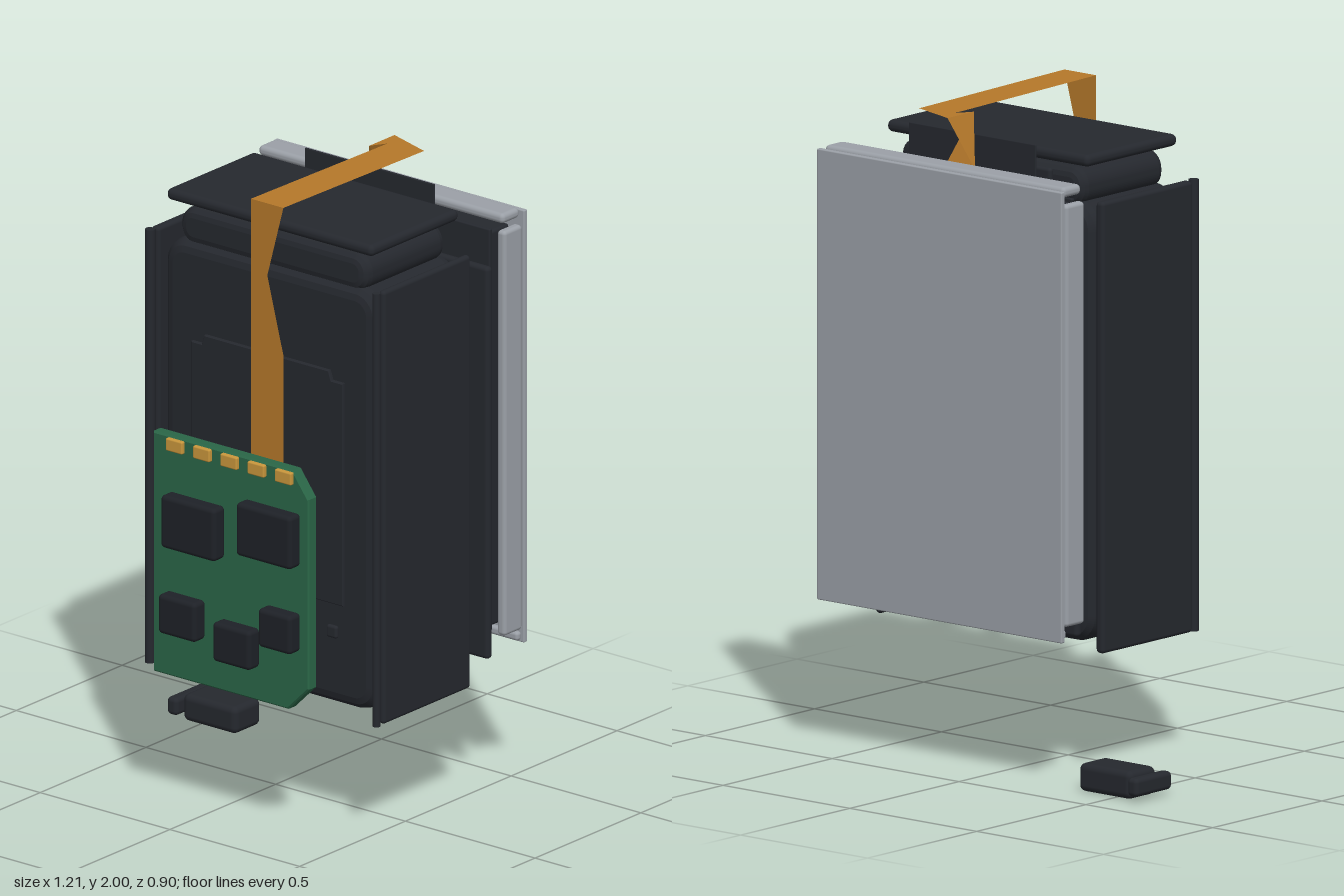
import * as THREE from 'three';
import { RoundedBoxGeometry } from 'three/addons/geometries/RoundedBoxGeometry.js';

const mat = (color, side = THREE.FrontSide) => new THREE.MeshStandardMaterial({ color, side });
const DARK = mat(0x25282e), CHIP = mat(0x1e2127), GREY = mat(0x9ba0a7), GREEN = mat(0x2a6647);
const GOLD = mat(0xc8963c), COPPER = mat(0xb5782a, THREE.DoubleSide);

export function createModel() {
  const model = new THREE.Group();

  const add = (name, geometry, material) => {
    const mesh = new THREE.Mesh(geometry, material);
    mesh.name = name;
    model.add(mesh);
    return mesh;
  };

  // Rounded block given by its extents on each axis
  const block = (name, material, [x0, x1], [y0, y1], [z0, z1], radius = 0.012) => {
    const size = [x1 - x0, y1 - y0, z1 - z0];
    const r = Math.min(radius, Math.min(...size) * 0.49);
    const mesh = add(name, new RoundedBoxGeometry(...size, 3, r), material);
    mesh.position.set((x0 + x1) / 2, (y0 + y1) / 2, (z0 + z1) / 2);
    return mesh;
  };

  // Outline extruded between two depths, with a bevel kept inside the outline
  const slab = (name, material, shape, z0, z1, bevel, segments = 3) => {
    const geometry = new THREE.ExtrudeGeometry(shape, {
      depth: z1 - z0 - 2 * bevel, bevelSize: bevel, bevelThickness: bevel,
      bevelOffset: -bevel, bevelSegments: segments, curveSegments: 8,
    });
    geometry.translate(0, 0, z0 + bevel);
    return add(name, geometry, material);
  };

  const roundedRect = (x0, x1, y0, y1, r) => {
    const s = new THREE.Shape();
    s.absarc(x1 - r, y1 - r, r, 0, Math.PI / 2);
    s.absarc(x0 + r, y1 - r, r, Math.PI / 2, Math.PI);
    s.absarc(x0 + r, y0 + r, r, Math.PI, Math.PI * 1.5);
    s.absarc(x1 - r, y0 + r, r, Math.PI * 1.5, Math.PI * 2);
    s.closePath();
    return s;
  };
  const polygon = (points) => new THREE.Shape(points.map(([x, y]) => new THREE.Vector2(x, y)));

  // Main housing, upper pad and lid
  slab('body', DARK, roundedRect(-0.27, 0.556, 0.405, 1.75, 0.085), -0.205, 0.205, 0.04);
  slab('topPad', DARK, roundedRect(-0.22, 0.505, 1.73, 1.85, 0.055), -0.19, 0.19, 0.03);
  block('topPlate', DARK, [-0.255, 0.54], [1.863, 1.9], [-0.208, 0.208], 0.017);

  // Front cover panel with raised tab, and a small button
  slab('frontCover', DARK, polygon([
    [-0.15, 0.73], [0.435, 0.73], [0.435, 1.44], [0.39, 1.44], [0.38, 1.47],
    [-0.1, 1.47], [-0.11, 1.44], [-0.15, 1.44],
  ]), 0.2, 0.216, 0.003, 1);
  block('frontButton', DARK, [0.37, 0.41], [0.62, 0.66], [0.2, 0.217]);

  // Side plates with a rod in front of each
  for (const [x0, x1] of [[-0.315, -0.284], [0.561, 0.585]]) {
    block('sidePlate', DARK, [x0, x1], [0.385, 1.765], [-0.207, 0.205]);
    const rod = add('sideRod', new THREE.CylinderGeometry((x1 - x0) / 2, (x1 - x0) / 2, 1.38, 16), DARK);
    rod.position.set((x0 + x1) / 2, 1.075, 0.226);
  }

  // Rear contact strip: carrier, gold contacts, backing
  block('contactCarrier', DARK, [-0.13, 0.412], [1.77, 1.848], [-0.235, -0.214]);
  for (let i = 0; i < 5; i++) {
    const x = -0.025 + i * 0.084;
    block('rearContact', GOLD, [x - 0.024, x + 0.024], [1.8, 1.86], [-0.254, -0.24], 0.006);
    block('rearContactBase', GOLD, [x - 0.02, x + 0.02], [1.805, 1.855], [-0.27, -0.257], 0.005);
  }
  block('contactBacking', DARK, [-0.11, 0.39], [1.74, 1.925], [-0.278, -0.271], 0.003);
  block('rearPlate', DARK, [-0.302, 0.585], [0.45, 1.7], [-0.312, -0.284], 0.013);

  // Display: dark liner, panel, frame rails and back sheet
  block('displayLiner', DARK, [-0.315, 0.55], [0.52, 1.8], [-0.35, -0.336], 0.004);
  block('displayPanel', DARK, [-0.31, 0.545], [0.53, 1.79], [-0.438, -0.345], 0.01);
  for (const [x0, x1] of [[-0.366, -0.335], [0.568, 0.6]]) {
    block('displaySideRail', GREY, [x0, x1], [0.51, 1.8], [-0.433, -0.347]);
  }
  block('displayTopRail', GREY, [-0.355, 0.59], [1.82, 1.852], [-0.433, -0.35], 0.014);
  block('displayBottomRail', GREY, [-0.355, 0.59], [0.472, 0.5], [-0.442, -0.418], 0.01);
  block('displayBack', GREY, [-0.365, 0.6], [0.465, 1.843], [-0.455, -0.438], 0.004);

  // Circuit board with clipped corners
  slab('circuitBoard', GREEN, polygon([
    [-0.15, 0.44], [0.37, 0.44], [0.45, 0.52], [0.45, 1.125], [0.39, 1.205], [-0.15, 1.205],
  ]), 0.355, 0.396, 0.005, 1);
  const chips = [
    [-0.08, 0.13, 0.865, 1.033], [0.21, 0.422, 0.908, 1.077], [-0.09, 0.055, 0.59, 0.715],
    [0.12, 0.265, 0.55, 0.675], [0.295, 0.422, 0.637, 0.76],
  ];
  for (const [x0, x1, y0, y1] of chips) block('chip', CHIP, [x0, x1], [y0, y1], [0.395, 0.45], 0.014);
  for (let i = 0; i < 5; i++) {
    const x = -0.06 + i * 0.105;
    block('boardContact', GOLD, [x - 0.032, x + 0.032], [1.16, 1.2], [0.39, 0.409], 0.005);
  }

  // Ribbon cable: left and right edges of each fold, joined by flat strips
  const folds = [
    [[0.17, 1.12, 0.325], [0.295, 1.12, 0.325]],
    [[0.17, 1.53, 0.325], [0.295, 1.53, 0.325]],
    [[0.17, 1.77, 0.325], [0.233, 1.77, 0.325]],
    [[0.17, 2, 0.325], [0.295, 2, 0.325]],
    [[0.17, 1.99, -0.32], [0.295, 1.99, -0.34]],
    [[0.14, 1.99, -0.27], [0.14, 1.99, -0.39]],
    [[0.2, 1.83, -0.328], [0.085, 1.83, -0.328]],
  ];
  const corners = [];
  for (let i = 0; i < folds.length - 1; i++) {
    const [a, b] = folds[i], [d, c] = folds[i + 1];
    corners.push(...a, ...b, ...c, ...a, ...c, ...d);
  }
  const ribbon = new THREE.BufferGeometry();
  ribbon.setAttribute('position', new THREE.Float32BufferAttribute(corners, 3));
  ribbon.computeVertexNormals();
  add('ribbonCable', ribbon, COPPER);
  block('ribbonFrontPlug', CHIP, [0.09, 0.38], [1.08, 1.158], [0.318, 0.333], 0.006);
  block('ribbonRearPlug', CHIP, [-0.005, 0.285], [1.77, 1.842], [-0.336, -0.322], 0.006);

  // Loose plug lying beside the device
  block('loosePlugBody', DARK, [-0.562, -0.355], [0, 0.086], [-0.37, -0.245], 0.02);
  block('loosePlugTip', DARK, [-0.605, -0.565], [0.017, 0.073], [-0.39, -0.224], 0.014);

  return model;
}
